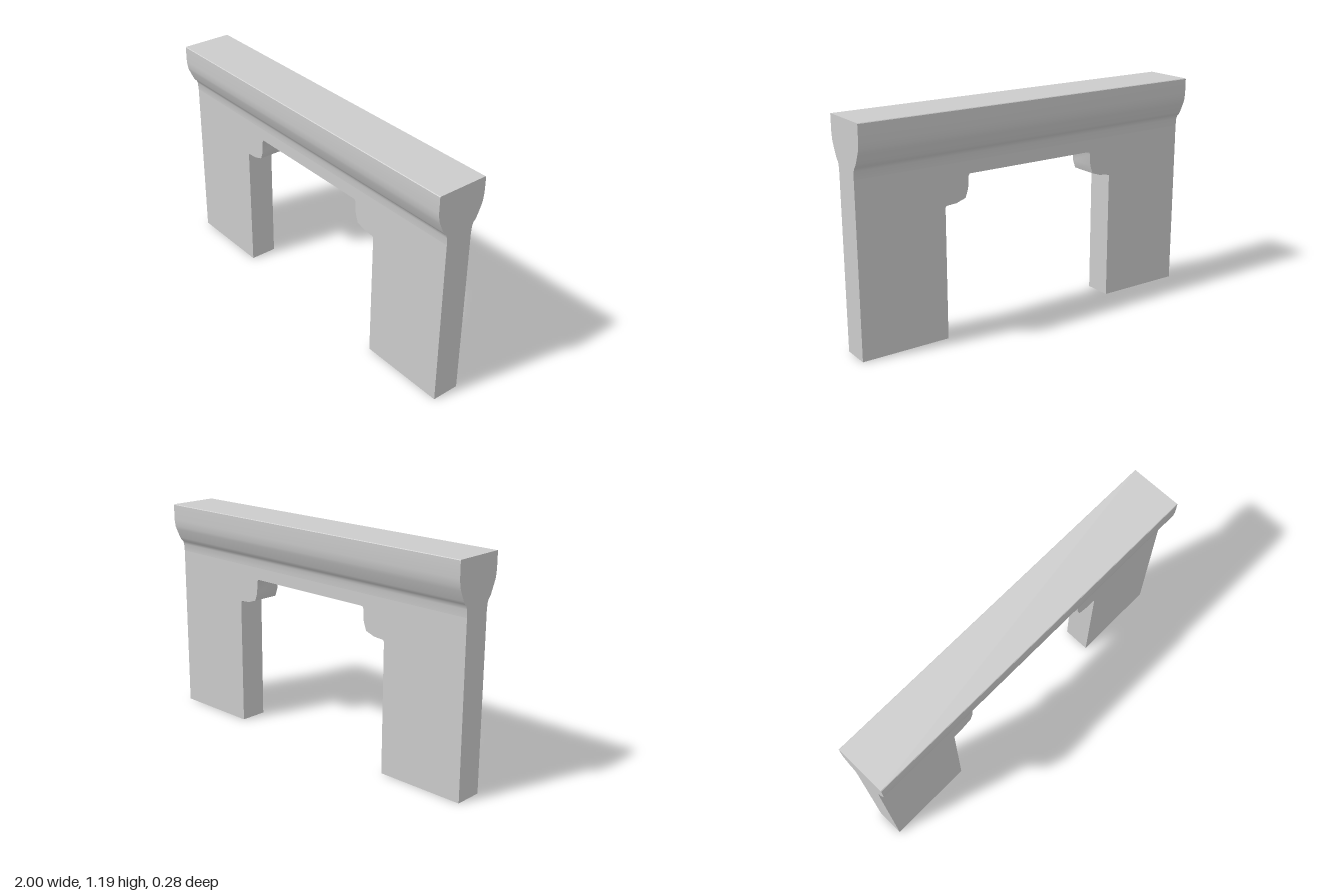
import * as THREE from 'three';
import { toCreasedNormals } from 'three/addons/utils/BufferGeometryUtils.js';

const WALL_TOP = 0.91;
const WALL_HALF = 0.075;

// Closed shape from right-hand points (bottom to top) mirrored across x = 0
function mirroredShape(right) {
  const left = right.map(([x, y]) => [-x, y]).reverse();
  return new THREE.Shape([...right, ...left].map(([x, y]) => new THREE.Vector2(x, y)));
}

// Extrude centred on z = 0, with soft normals on the moulded curves
function extrudeCentred(shape, depth) {
  const geo = new THREE.ExtrudeGeometry(shape, { depth, bevelEnabled: false });
  geo.translate(0, 0, -depth / 2);
  return toCreasedNormals(geo, 0.7);
}

export function createModel() {
  const group = new THREE.Group();
  const material = new THREE.MeshStandardMaterial({ color: 0xcccccc });

  function add(name, geometry) {
    const mesh = new THREE.Mesh(geometry, material);
    mesh.name = name;
    group.add(mesh);
  }

  // Wall with two piers and a doorway whose upper corners carry stepped corbels
  const wallShape = mirroredShape([
    [0.375, 0.845], [0.383, 0.832], [0.386, 0.77], [0.402, 0.724],
    [0.455, 0.706], [0.51, 0.702], [0.518, 0.695],
    [0.518, 0], [1, 0], [1, WALL_TOP],
  ]);
  add('archWall', extrudeCentred(wallShape, WALL_HALF * 2));

  // Flared coping running the full length of the wall
  const copingShape = mirroredShape([
    [WALL_HALF, WALL_TOP], [0.078, 0.95], [0.084, 0.967], [0.096, 0.978],
    [0.104, 0.992], [0.127, 1.043], [0.134, 1.062], [0.139, 1.1],
    [0.139, 1.183], [0.136, 1.186],
  ]);
  add('coping', extrudeCentred(copingShape, 2).rotateY(Math.PI / 2));

  return group;
}
